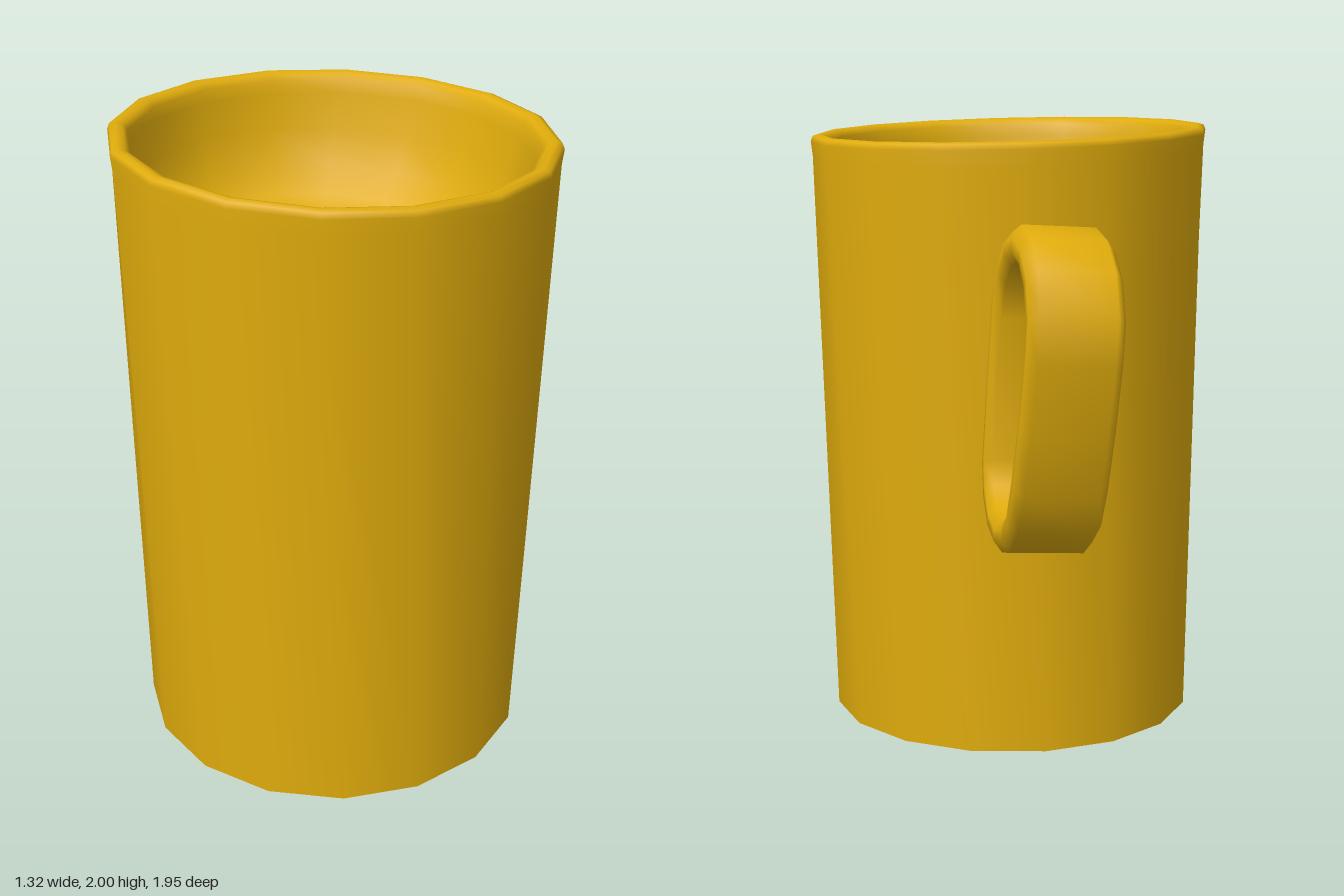
import * as THREE from 'three';

const SIDES = 16;
const TWIST = -0.107; // turn of the rim against the foot
const TILT = 0.03; // slope of the rim

// Cup shell: outer wall, rounded rim and a smooth bowl-shaped hollow
function cupGeometry() {
  const profile = [
    [0.612, 0], [0.66, 1.9], [0.666, 1.95], [0.66, 1.967], [0.642, 1.973], [0.62, 1.967],
    [0.605, 1.95], [0.597, 1.91], [0.575, 1.8], [0.54, 1.69], [0.48, 1.61], [0.4, 1.57], [0.34, 1.56], [0, 1.56],
  ].map(([r, y]) => new THREE.Vector2(r, y));
  const geo = new THREE.LatheGeometry(profile, SIDES, TWIST);
  const pos = geo.attributes.position;
  const rows = profile.length;
  for (let i = 0; i < pos.count; i++) {
    const row = i % rows;
    const x = pos.getX(i), y = pos.getY(i), z = pos.getZ(i);
    if (row === 0) {
      // the foot ring is not twisted
      const c = Math.cos(TWIST), s = Math.sin(TWIST);
      pos.setXYZ(i, x * c - z * s, 0, x * s + z * c - 0.017);
      continue;
    }
    // the rim slopes, and the hollow leans sideways
    const drop = row > 5 ? 1.97 - y : 0;
    pos.setXYZ(i, x - 0.14 * drop, y + TILT * (z - x), z + 0.04 * drop);
  }
  return geo;
}

// Handle: a flat strap swept round a closed loop
function handleGeometry() {
  // outer z, outer y, inner z, inner y at each station
  const loop = [
    [-0.32, 1.46, -0.42, 1.42], [-0.39, 1.6, -0.46, 1.53], [-0.5, 1.69, -0.54, 1.59], [-0.63, 1.72, -0.63, 1.61],
    [-0.78, 1.695, -0.75, 1.59], [-0.9, 1.62, -0.83, 1.54], [-0.972, 1.5, -0.88, 1.45], [-0.972, 1.36, -0.88, 1.36],
    [-0.93, 1.15, -0.85, 1.18], [-0.885, 0.97, -0.8, 1.02], [-0.82, 0.85, -0.76, 0.91], [-0.72, 0.77, -0.69, 0.86],
    [-0.6, 0.74, -0.6, 0.84], [-0.47, 0.77, -0.5, 0.855], [-0.37, 0.835, -0.43, 0.91], [-0.31, 0.95, -0.39, 0.98],
  ];
  // strap section: across the width, and from outside (0) to inside (1)
  const section = [
    [-0.11, 0], [0.11, 0], [0.138, 0.35], [0.138, 0.7], [0.115, 1], [-0.115, 1], [-0.138, 0.7], [-0.138, 0.35],
  ];
  const n = loop.length, m = section.length;
  const points = [], index = [];
  loop.forEach(([oz, oy, iz, iy], i) => section.forEach(([w, t], j) => {
    points.push(w, oy + (iy - oy) * t - 1.23, oz + (iz - oz) * t);
    const a = i * m + j, b = i * m + (j + 1) % m;
    const c = ((i + 1) % n) * m + j, d = ((i + 1) % n) * m + (j + 1) % m;
    index.push(a, b, c, b, d, c);
  }));
  const geo = new THREE.BufferGeometry();
  geo.setAttribute('position', new THREE.Float32BufferAttribute(points, 3));
  geo.setIndex(index);
  geo.computeVertexNormals();
  return geo;
}

export function createModel() {
  const model = new THREE.Group();
  model.name = 'mug';
  const glaze = new THREE.MeshStandardMaterial({ color: 0xe0ac0c });
  glaze.name = 'yellow glaze';

  const add = (name, geo) => {
    const mesh = new THREE.Mesh(geo, glaze);
    mesh.name = name;
    model.add(mesh);
    return mesh;
  };

  add('cup', cupGeometry()).position.z = 0.315;

  // Flat underside
  const base = add('base', new THREE.CircleGeometry(0.612, SIDES));
  base.rotation.x = Math.PI / 2;
  base.position.z = 0.298;

  // Handle leans slightly to one side
  const handle = add('handle', handleGeometry());
  handle.position.set(0.056, 1.23, 0);
  handle.rotation.z = 0.055;

  return model;
}
